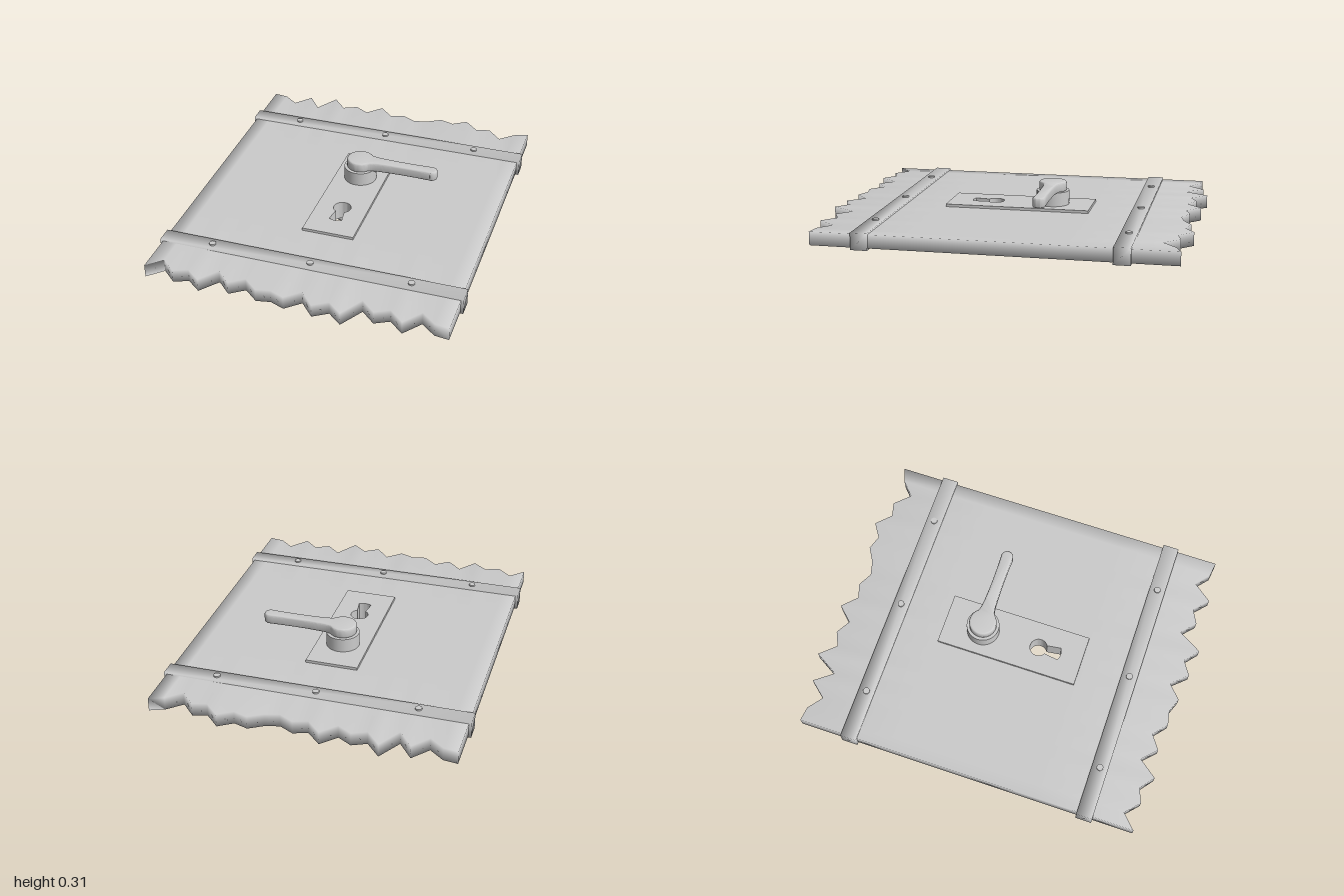
import * as THREE from 'three';
import { mergeVertices, toCreasedNormals } from 'three/addons/utils/BufferGeometryUtils.js';

const material = new THREE.MeshStandardMaterial({ color: 0xcccccc });

function add(group, name, geometry, x = 0, y = 0, z = 0) {
  const mesh = new THREE.Mesh(geometry, material);
  mesh.name = name;
  mesh.position.set(x, y, z);
  group.add(mesh);
  return mesh;
}

// Share all corner normals for a soft look
function smooth(geometry) {
  geometry.deleteAttribute('uv');
  geometry.deleteAttribute('normal');
  const merged = mergeVertices(geometry);
  merged.computeVertexNormals();
  return merged;
}

// Splintered end depths, left to right in even steps of x
const BACK = [.95, .94, .88, .97, .87, 1, .915, .95, .905, .985, .91,
  .935, .895, .915, .96, .935, .985, .91, .93, .85, .92, .95];
const FRONT = [.935, .86, .93, .9, .96, .86, .935, .88, .945, .93, .96,
  .89, .975, .925, .99, .86, .93, .89, .96, .86, .925, .935];

// Panel made of one closed cross-section per column
function panelGeometry() {
  const top = 0.166, bottom = 0.094, mid = 0.38, last = BACK.length - 1;
  const positions = [], index = [];
  const quad = (a, b, c, d) => index.push(a, b, c, a, c, d);
  for (let i = 0; i <= last; i++) {
    const x = -0.805 + 1.61 * i / last;
    const zs = [-BACK[i], -mid, mid, FRONT[i]];
    for (const z of zs) positions.push(x, top, z);
    for (const z of zs.reverse()) positions.push(x, bottom, z);
  }
  for (let i = 0; i < last; i++) {
    for (let k = 0; k < 8; k++) {
      // Opening behind the lock plate
      if ((k === 1 || k === 5) && i >= 9 && i <= 11) continue;
      const a = i * 8 + k, b = i * 8 + (k + 1) % 8;
      quad(a, b, b + 8, a + 8);
    }
  }
  const e = last * 8;
  for (let k = 0; k < 3; k++) {
    quad(k, 7 - k, 6 - k, k + 1);
    quad(e + k, e + k + 1, e + 6 - k, e + 7 - k);
  }
  const geometry = new THREE.BufferGeometry();
  geometry.setAttribute('position', new THREE.Float32BufferAttribute(positions, 3));
  geometry.setIndex(index);
  geometry.computeVertexNormals();
  return geometry;
}

// Lock plate through the panel, pierced by the keyhole
function plateGeometry() {
  const shape = new THREE.Shape();
  shape.moveTo(-0.142, -0.393);
  shape.lineTo(0.142, -0.393);
  shape.lineTo(0.142, 0.398);
  shape.lineTo(-0.142, 0.398);
  shape.closePath();
  const hole = new THREE.Path();
  hole.moveTo(0.035, -0.262);
  hole.absarc(0, -0.143, 0.048, -Math.PI / 3, Math.PI * 4 / 3, false);
  hole.lineTo(-0.035, -0.262);
  hole.quadraticCurveTo(0, -0.28, 0.035, -0.262);
  shape.holes.push(hole);
  const g = new THREE.ExtrudeGeometry(shape, { depth: 0.104, bevelEnabled: false, curveSegments: 16 });
  g.rotateX(-Math.PI / 2);
  return toCreasedNormals(g, 0.6);
}

// Lever: round hub, narrowing neck and rounded tip
function leverGeometry() {
  const shape = new THREE.Shape();
  shape.moveTo(0.057, 0.048);
  shape.absarc(0, 0, 0.075, 0.7, Math.PI * 2 - 0.7, false);
  shape.quadraticCurveTo(0.08, -0.036, 0.14, -0.034);
  shape.quadraticCurveTo(0.25, -0.027, 0.41, -0.033);
  shape.absarc(0.411, 0, 0.034, -Math.PI / 2, Math.PI / 2, false);
  shape.quadraticCurveTo(0.25, 0.027, 0.14, 0.034);
  shape.quadraticCurveTo(0.08, 0.036, 0.057, 0.048);
  const g = new THREE.ExtrudeGeometry(shape, {
    depth: 0.035, bevelThickness: 0.01, bevelSize: 0.01, bevelOffset: -0.01,
    bevelSegments: 3, curveSegments: 16,
  });
  g.rotateX(-Math.PI / 2);
  return toCreasedNormals(g, 0.7);
}

export function createModel() {
  const model = new THREE.Group();
  model.name = 'doorPanel';

  add(model, 'panel', panelGeometry());

  // Iron bands with rivets passing through
  for (const z of [-0.667, 0.667]) {
    const band = new THREE.Group();
    band.name = z < 0 ? 'backBand' : 'frontBand';
    add(band, 'strap', smooth(new THREE.BoxGeometry(1.64, 0.09, 0.088)), 0, 0.13, z);
    for (const x of [-0.54, 0, 0.54]) {
      add(band, 'rivet', new THREE.CylinderGeometry(0.018, 0.018, 0.106, 16), x, 0.13, z);
    }
    model.add(band);
  }

  add(model, 'lockPlate', plateGeometry(), 0, 0.077, 0);

  // Handle on the upper face
  const handle = new THREE.Group();
  handle.name = 'handle';
  add(handle, 'handleBase', new THREE.CylinderGeometry(0.09, 0.09, 0.08, 32), 0, 0.217, 0);
  add(handle, 'lever', leverGeometry(), 0, 0.264, 0);
  handle.position.z = -0.18;
  model.add(handle);

  // Pull ring hanging from a staple on the lower face
  const ring = new THREE.TorusGeometry(0.184, 0.017, 12, 40);
  ring.rotateX(Math.PI / 2);
  add(model, 'pullRing', ring, 0, 0.038, -0.138);
  const staple = new THREE.TorusGeometry(0.055, 0.014, 10, 28);
  staple.rotateY(Math.PI / 2);
  add(model, 'ringStaple', staple, 0, 0.069, -0.315);

  return model;
}
